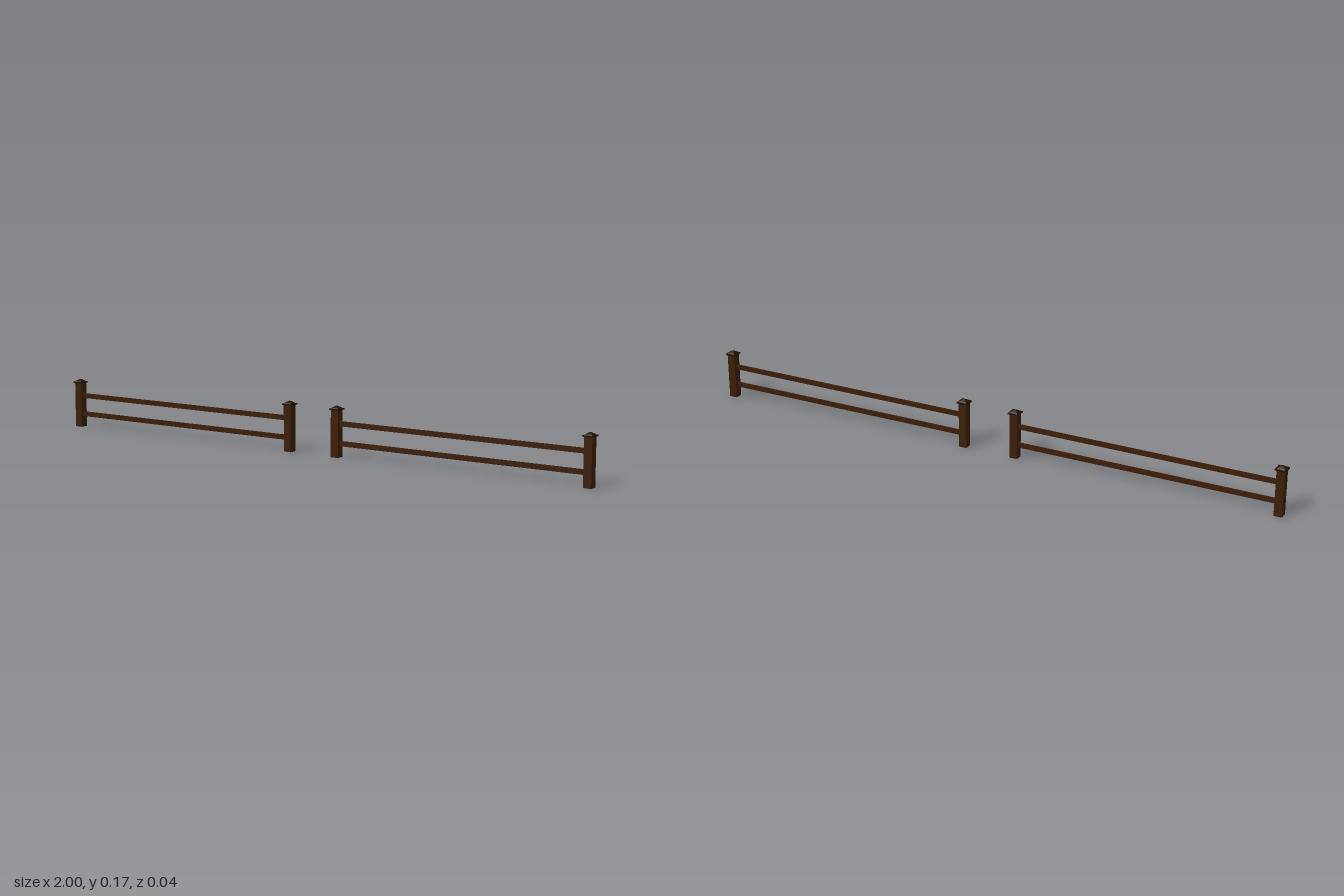
import * as THREE from 'three';

const wood = new THREE.MeshStandardMaterial({ color: 0x3b1e08 });
wood.name = 'dark brown wood';
const capWood = new THREE.MeshStandardMaterial({ color: 0x241104 });
capWood.name = 'blackish brown cap';

function box(name, w, h, d, x, y, z, material) {
  const mesh = new THREE.Mesh(new THREE.BoxGeometry(w, h, d), material);
  mesh.name = name;
  mesh.position.set(x, y, z);
  return mesh;
}

// Four-sided frustum with its sides square to the axes
function frustum(name, topHalf, bottomHalf, h, y, material) {
  const geometry = new THREE.CylinderGeometry(topHalf * Math.SQRT2, bottomHalf * Math.SQRT2, h, 4, 1)
    .rotateY(Math.PI / 4).toNonIndexed();
  geometry.computeVertexNormals();
  const mesh = new THREE.Mesh(geometry, material);
  mesh.name = name;
  mesh.position.y = y + h / 2;
  return mesh;
}

// Square post with an overhanging plate and a stepped pyramid on top
function createPost(x) {
  const post = new THREE.Group();
  post.name = 'fencePost';
  post.position.x = x;
  post.add(
    box('postShaft', 0.027, 0.153, 0.027, 0, 0.0765, 0, wood),
    box('capPlate', 0.036, 0.004, 0.036, 0, 0.155, 0, capWood),
    frustum('capSlope', 0.0115, 0.0135, 0.003, 0.157, capWood),
    frustum('capPeak', 0.003, 0.0115, 0.0055, 0.16, capWood),
  );
  return post;
}

export function createModel() {
  const fence = new THREE.Group();
  fence.name = 'fence';
  const outer = 0.982, inner = 0.0915;
  const span = outer - inner;

  // Two matching sections with a gap between them
  for (const side of [-1, 1]) {
    const section = new THREE.Group();
    section.name = side < 0 ? 'rightSection' : 'leftSection';
    section.add(createPost(side * outer), createPost(side * inner));
    const middle = side * (outer + inner) / 2;
    section.add(
      box('lowerRail', span, 0.016, 0.007, middle, 0.045, 0, wood),
      box('upperRail', span, 0.016, 0.007, middle, 0.109, 0, wood),
    );
    fence.add(section);
  }
  return fence;
}
